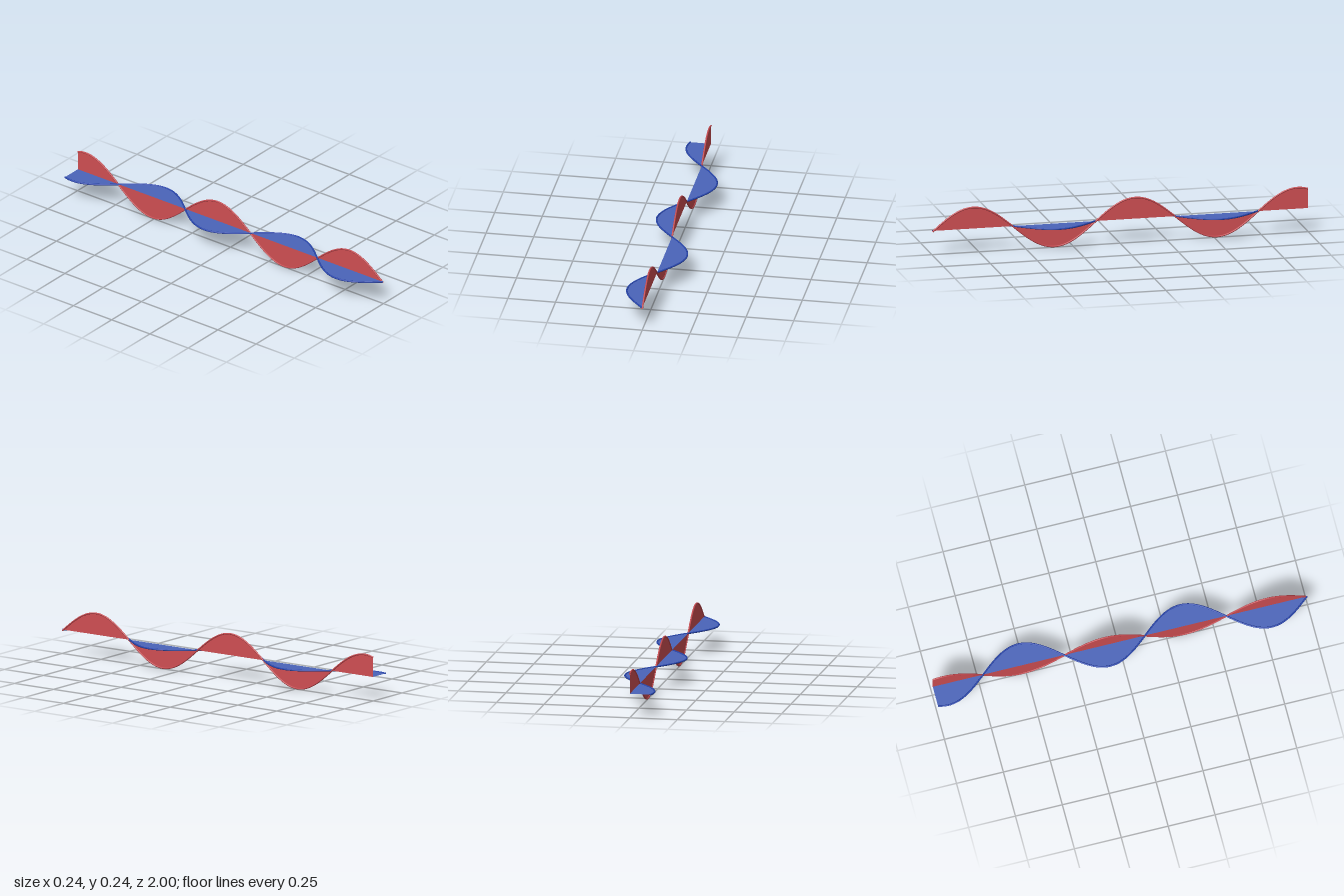
import * as THREE from 'three';

const START = 0.997, LENGTH = 1.995, PERIOD = 0.863; // wave runs from +z to -z
const AMPLITUDE = 0.1172, TUBE_RADIUS = 0.0044, AXIS_Y = 0.127;

const material = (name, color, side = THREE.FrontSide) =>
  new THREE.MeshStandardMaterial({ name, color, side });

// One sine wave rising along local y: a thin filled sheet and a tube along its crest line
function createWave(name, sheetMaterial, edgeMaterial, offset) {
  const group = new THREE.Group();
  group.name = name;
  const height = d => offset + AMPLITUDE * Math.sin((d / PERIOD) * Math.PI * 2);

  // Sheet spans from the axis to the curve, on whichever side the curve lies
  const sheet = new THREE.PlaneGeometry(LENGTH, 1, 240, 1);
  const p = sheet.attributes.position;
  for (let i = 0; i < p.count; i++) {
    const d = p.getX(i) + LENGTH / 2;
    const h = height(d);
    p.setXYZ(i, 0, p.getY(i) > 0 ? Math.max(0, h) : Math.min(0, h), START - d);
  }
  for (let i = 0; i < p.count; i++) sheet.attributes.normal.setXYZ(i, 1, 0, 0);
  const sheetMesh = new THREE.Mesh(sheet, sheetMaterial);
  sheetMesh.name = name + 'Sheet';

  // Rounded edge following the curve
  const points = [];
  for (let i = 0; i <= 120; i++) {
    const d = (i / 120) * LENGTH;
    points.push(new THREE.Vector3(0, height(d), START - d));
  }
  const edge = new THREE.TubeGeometry(new THREE.CatmullRomCurve3(points), 240, TUBE_RADIUS, 10);
  const edgeMesh = new THREE.Mesh(edge, edgeMaterial);
  edgeMesh.name = name + 'Edge';

  group.add(sheetMesh, edgeMesh);
  return group;
}

export function createModel() {
  const model = new THREE.Group();
  model.name = 'crossedWaves';
  const D = THREE.DoubleSide;

  // Upright red wave
  const upright = createWave('uprightWave',
    material('red sheet', 0xd04f53, D), material('red edge', 0xc4484e, D), -0.005);

  // Level blue wave, turned a quarter about the shared axis
  const level = createWave('levelWave',
    material('blue sheet', 0x4a64ba, D), material('blue edge', 0x2644ac, D), 0);
  level.rotation.z = Math.PI / 2;

  upright.position.y = level.position.y = AXIS_Y;
  model.add(upright, level);
  return model;
}
